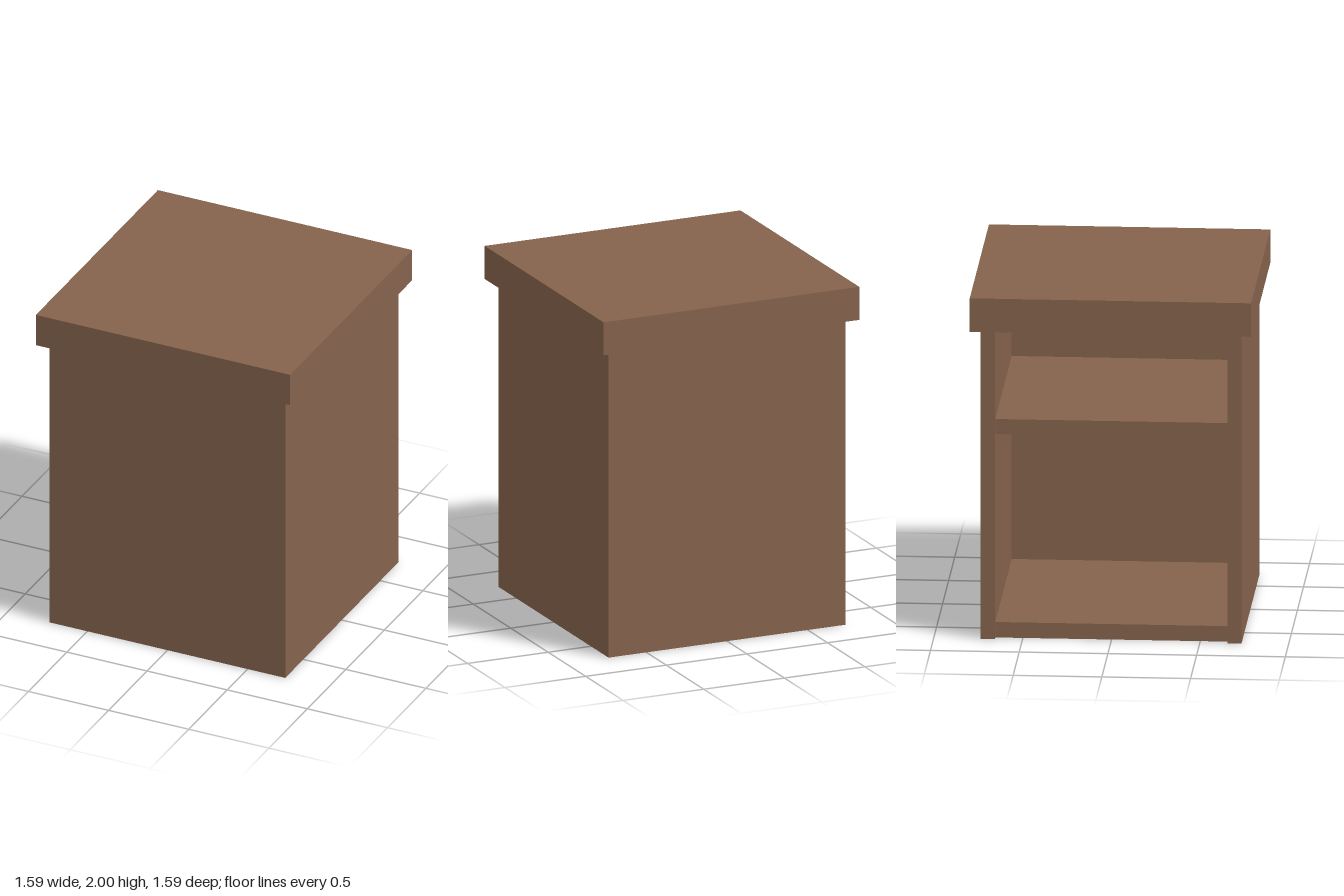
import * as THREE from 'three';

export function createModel() {
  const group = new THREE.Group();
  const wood = new THREE.MeshStandardMaterial({ color: 0x85634c });

  // Box given by its min and max corners
  const addBoard = (name, [x0, y0, z0], [x1, y1, z1]) => {
    const geometry = new THREE.BoxGeometry(x1 - x0, y1 - y0, z1 - z0);
    const mesh = new THREE.Mesh(geometry, wood);
    mesh.name = name;
    mesh.position.set((x0 + x1) / 2, (y0 + y1) / 2, (z0 + z1) / 2);
    group.add(mesh);
  };

  const half = 0.735; // half width of the cabinet body
  const wall = 0.08; // panel thickness
  const inner = half - wall;
  const topHalf = 0.793;
  const topY = 1.805;
  const inset = 0.038; // shelves sit back from the open side

  // Overhanging top slab
  addBoard('top', [-topHalf, topY, -topHalf], [topHalf, 2, topHalf]);

  // Three walls; the -x side is open
  addBoard('frontPanel', [-half, 0, inner], [half, topY, half]);
  addBoard('backPanel', [-half, 0, -half], [half, topY, -inner]);
  addBoard('leftPanel', [inner, 0, -inner], [half, topY, inner]);

  // Bottom board and shelf between the walls
  const boards = { bottomPanel: [0, 0.09], shelf: [1.185, 1.273] };
  for (const [name, [y0, y1]] of Object.entries(boards)) {
    addBoard(name, [-half + inset, y0, -inner], [inner, y1, inner]);
  }

  return group;
}
